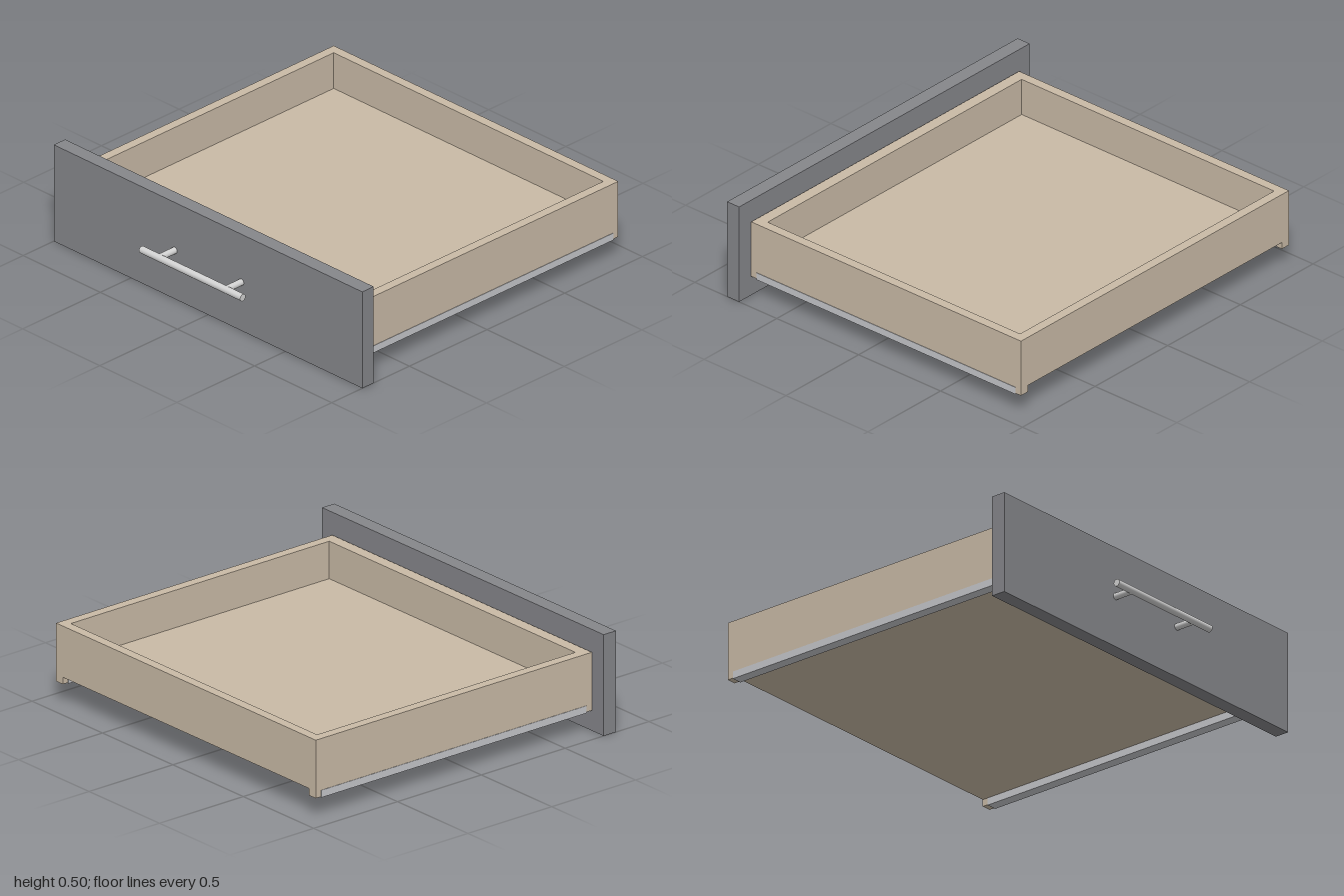
import * as THREE from 'three';

const material = (name, color) => {
  const m = new THREE.MeshStandardMaterial({ color });
  m.name = name;
  return m;
};

function add(parent, name, geometry, mat, x = 0, y = 0, z = 0) {
  const mesh = new THREE.Mesh(geometry, mat);
  mesh.name = name;
  mesh.position.set(x, y, z);
  parent.add(mesh);
  return mesh;
}

// Box given by its lower and upper bounds
function addBox(parent, name, mat, [x0, x1], [y0, y1], [z0, z1]) {
  return add(parent, name, new THREE.BoxGeometry(x1 - x0, y1 - y0, z1 - z0), mat,
    (x0 + x1) / 2, (y0 + y1) / 2, (z0 + z1) / 2);
}

// Rectangle in plan; shape y becomes -z once laid flat
function rectangle(path, x, zBack, zFront) {
  path.moveTo(-x, -zFront);
  path.lineTo(x, -zFront);
  path.lineTo(x, -zBack);
  path.lineTo(-x, -zBack);
  path.closePath();
  return path;
}

export function createModel() {
  const model = new THREE.Group();
  model.name = 'drawer';
  const wood = material('tan wood', 0xc9baa6);
  const paint = material('grey front', 0x85868a);
  const runnerMetal = material('runner metal', 0xc5c6ca);
  const handleMetal = material('handle metal', 0xd2d2d2);

  const half = 0.922, inner = 0.874, back = -0.922, front = 0.725;
  const bottom = 0.103, underside = 0.137, top = 0.39;

  // Tray: one frame of four walls, and the floor within it
  const tray = new THREE.Group();
  tray.name = 'tray';
  model.add(tray);
  const outline = rectangle(new THREE.Shape(), half, back, front);
  outline.holes.push(rectangle(new THREE.Path(), inner, back + 0.048, front - 0.058));
  const frame = new THREE.ExtrudeGeometry(outline, { depth: top - underside, bevelEnabled: false });
  frame.rotateX(-Math.PI / 2);
  add(tray, 'walls', frame, wood, 0, underside, 0);
  addBox(tray, 'floor', wood, [-inner, inner], [underside, 0.205], [back + 0.048, front - 0.058]);

  // Lower edges of the side walls, each wrapped by a metal runner
  for (const side of [-1, 1]) {
    const span = (a, b) => (side > 0 ? [a, b] : [-b, -a]);
    const label = side > 0 ? 'left' : 'right';
    addBox(tray, label + 'WallEdge', wood, span(inner, half), [bottom, underside], [back, front]);
    addBox(model, label + 'Runner', runnerMetal, span(inner - 0.003, half + 0.002),
      [bottom - 0.004, 0.135], [-0.89, 0.692]);
  }

  // Front panel
  addBox(model, 'frontPanel', paint, [-1, 1], [0, 0.5], [0.73, 0.803]);

  // Bar handle on two posts
  const handle = new THREE.Group();
  handle.name = 'handle';
  handle.position.y = 0.252;
  model.add(handle);
  const bar = new THREE.CylinderGeometry(0.0175, 0.0175, 0.656, 24);
  add(handle, 'handleBar', bar.rotateZ(Math.PI / 2), handleMetal, 0, 0, 0.9045);
  for (const side of [-1, 1]) {
    const post = new THREE.CylinderGeometry(0.016, 0.016, 0.1, 24);
    add(handle, 'handlePost', post.rotateX(Math.PI / 2), handleMetal, side * 0.216, 0, 0.85);
  }
  return model;
}
